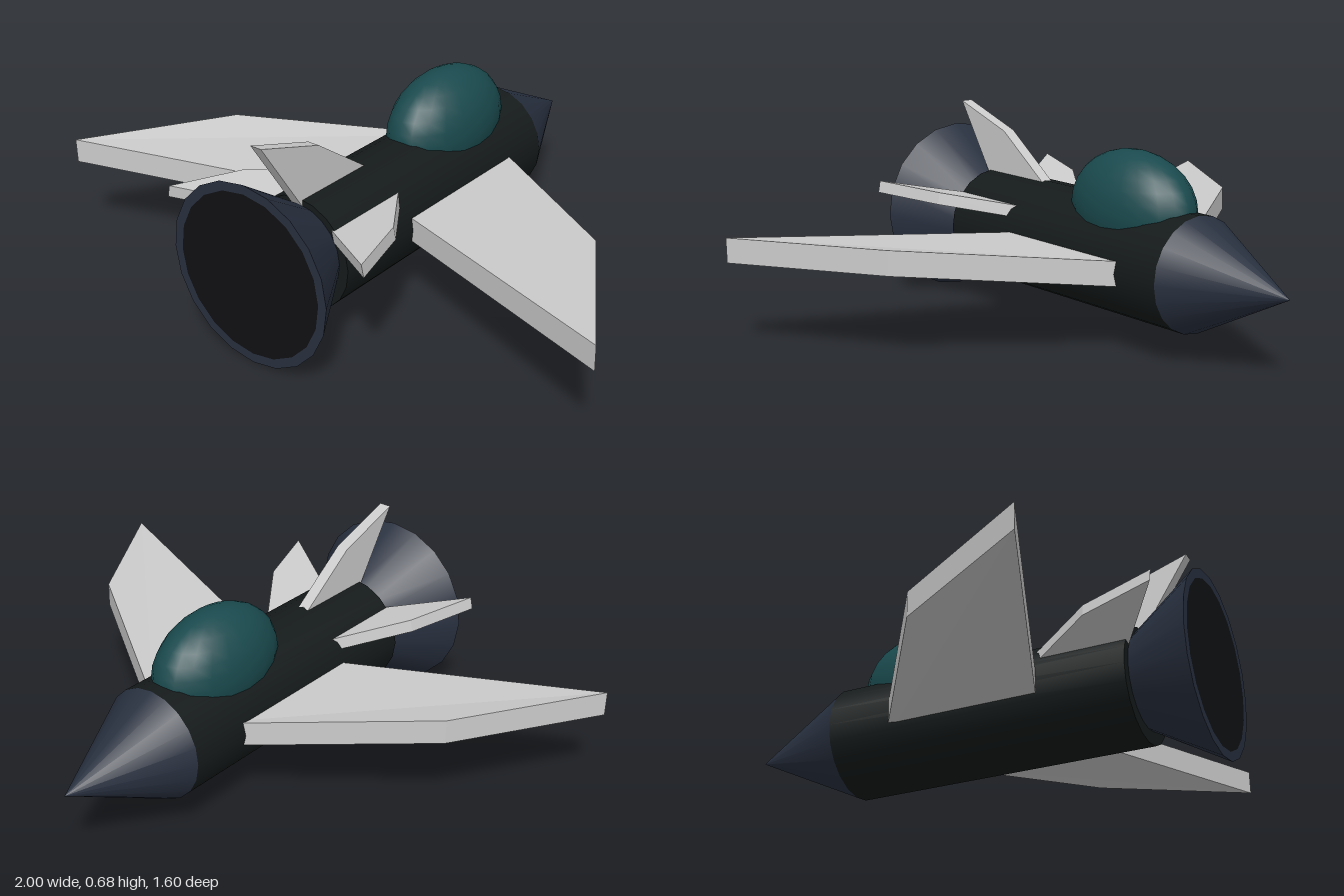
import * as THREE from 'three';

const AXIS_X = -0.03, AXIS_Y = 0.275; // fuselage axis

const paint = (color, extra = {}) => new THREE.MeshStandardMaterial({ color, ...extra });

function addPart(parent, name, geometry, material) {
  const mesh = new THREE.Mesh(geometry, material);
  mesh.name = name;
  parent.add(mesh);
  return mesh;
}

// Round section along z: radius r0 at z0 (front) to r1 at z1 (rear)
function section(r0, z0, r1, z1, open = false) {
  const g = new THREE.CylinderGeometry(r1, r0, z1 - z0, 20, 1, open);
  g.rotateX(Math.PI / 2);
  return g.translate(AXIS_X, AXIS_Y, (z0 + z1) / 2);
}

// Slab of constant height over a bent four-cornered outline (underside corners)
function slab(corners, height) {
  const low = corners.map((c) => new THREE.Vector3(...c));
  const high = low.map((c) => c.clone().setY(c.y + height));
  const points = [];
  const tri = (...p) => points.push(...p);
  for (const [i, j] of [[1, 2], [2, 3]]) {
    tri(high[0], high[j], high[i]);
    tri(low[0], low[i], low[j]);
  }
  for (let i = 0; i < 4; i++) {
    const k = (i + 1) % 4;
    tri(low[i], high[i], high[k]);
    tri(low[i], high[k], low[k]);
  }
  const g = new THREE.BufferGeometry().setFromPoints(points);
  g.computeVertexNormals();
  return g;
}

// Swept tail fin, upright, its root at the origin height
function finGeometry() {
  const outline = [[0.24, -0.04], [0.3, 0], [0.5, 0.145], [0.74, 0.225], [0.57, -0.04]];
  const shape = new THREE.Shape(outline.map(([z, h]) => new THREE.Vector2(z, h)));
  const g = new THREE.ExtrudeGeometry(shape, { depth: 0.04, bevelEnabled: false });
  return g.translate(0, 0, -0.02).rotateY(-Math.PI / 2);
}

export function createModel() {
  const model = new THREE.Group();
  model.name = 'jet';
  const grey = paint(0xcccccc, { flatShading: true });
  const navy = paint(0x28303f);
  const black = paint(0x151a1a);

  // Fuselage and pointed nose
  addPart(model, 'fuselage', section(0.185, -0.43, 0.185, 0.58), black);
  addPart(model, 'noseCone', section(0, -0.8, 0.185, -0.43), navy);

  // Flared exhaust, its wide end slightly raised
  const flare = section(0.14, 0.56, 0.295, 0.803, true);
  const p = flare.attributes.position;
  for (let i = 0; i < p.count; i++) {
    p.setY(i, p.getY(i) + (p.getZ(i) > 0.7 ? 0.025 : 0.012));
  }
  flare.computeVertexNormals();
  addPart(model, 'exhaustBell', flare, navy);

  // Flat exhaust face: dark disc inside a narrow rim
  const rim = addPart(model, 'exhaustRim', new THREE.RingGeometry(0.265, 0.295, 20), navy);
  const face = addPart(model, 'exhaustFace', new THREE.CircleGeometry(0.265, 20), paint(0x101113));
  for (const disc of [rim, face]) {
    disc.rotation.z = Math.PI / 2;
    disc.position.set(AXIS_X, AXIS_Y + 0.025, 0.803);
  }

  // Cockpit canopy
  const canopy = addPart(model, 'canopy', new THREE.SphereGeometry(1, 20, 14), paint(0x1a4a4e));
  canopy.scale.set(0.143, 0.185, 0.252);
  canopy.position.set(AXIS_X, 0.44, -0.14);

  // Swept wings: front root, leading-edge bend, tip, rear root
  for (const side of [1, -1]) {
    const c = [[0.1, 0.231, -0.29], [0.715, 0.29, 0.13], [1, 0.29, 0.595], [0.1, 0.231, 0.25]]
      .map(([x, y, z]) => [side * x, y, z]);
    const ordered = side > 0 ? c : [c[0], c[3], c[2], c[1]];
    addPart(model, side > 0 ? 'leftWing' : 'rightWing', slab(ordered, 0.08), grey);
  }

  // Three tail fins: one upright, two spread to the sides
  const fin = finGeometry();
  const fins = [
    ['topFin', -0.033, 0.46, 0],
    ['leftFin', 0.124, 0.379, -79],
    ['rightFin', -0.186, 0.379, 77],
  ];
  for (const [name, x, y, angle] of fins) {
    const mesh = addPart(model, name, fin, grey);
    mesh.position.set(x, y, 0);
    mesh.rotation.z = THREE.MathUtils.degToRad(angle);
  }
  return model;
}
